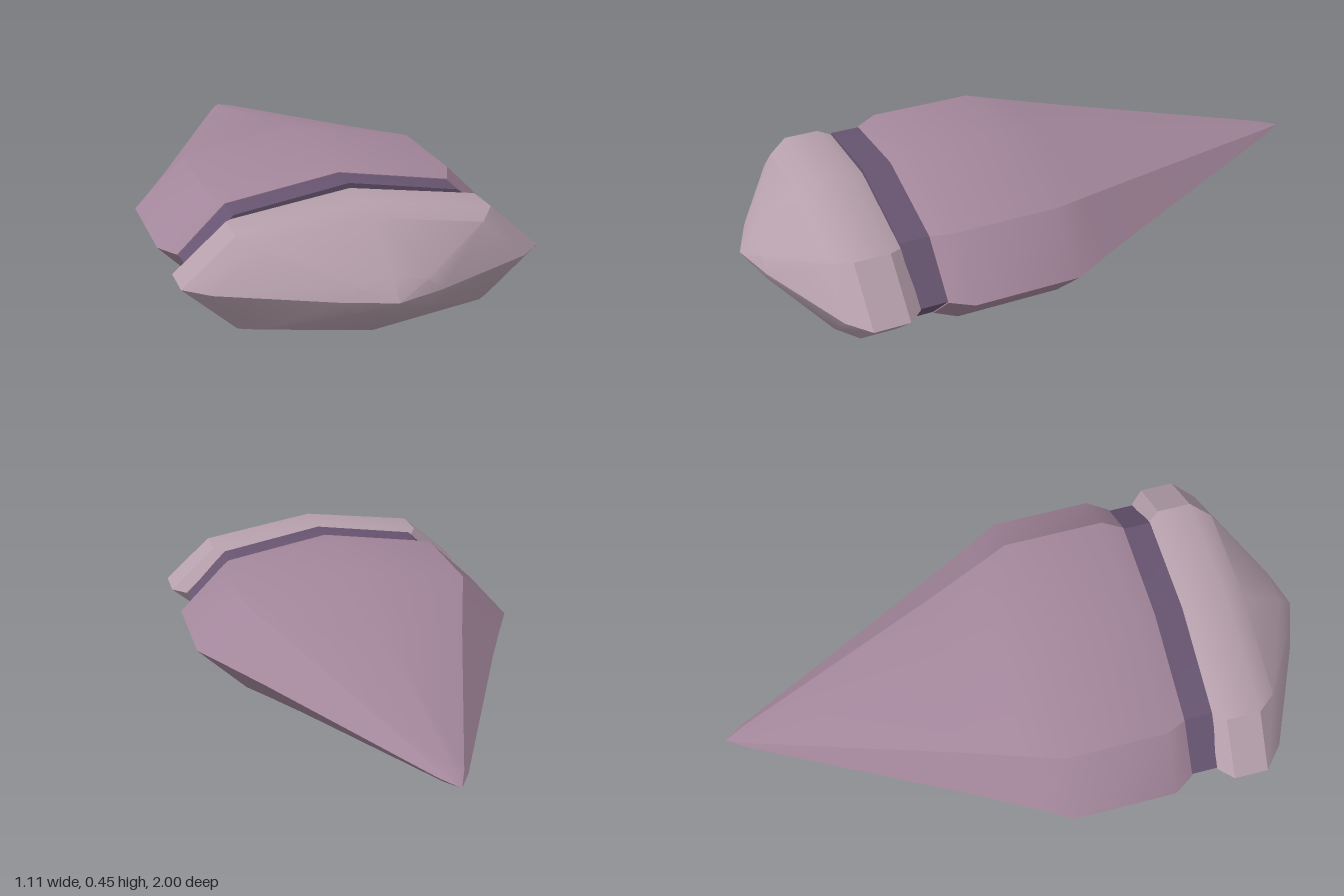
import * as THREE from 'three';
import { toCreasedNormals } from 'three/addons/utils/BufferGeometryUtils.js';

const CENTRE_Y = 0.228;

// Eight-sided spindle along z, flattened in y. Profile: [half width, z], back to front.
function spindle(name, profile, flatten, color) {
  const points = profile.map(([r, z]) => new THREE.Vector2(r, z));
  const geometry = new THREE.LatheGeometry(points, 8);
  geometry.rotateX(Math.PI / 2);
  geometry.scale(1, flatten, 1);
  geometry.translate(0, CENTRE_Y, 0);
  const mesh = new THREE.Mesh(
    toCreasedNormals(geometry, 0.5),
    new THREE.MeshStandardMaterial({ color })
  );
  mesh.name = name;
  return mesh;
}

export function createModel() {
  const group = new THREE.Group();
  group.name = 'pointedPod';

  // Long body tapering to a point at the back
  group.add(spindle('taperedBody', [
    [0, -1], [0.045, -0.93], [0.385, -0.25], [0.49, -0.05],
    [0.555, 0.07], [0.555, 0.415], [0.51, 0.485], [0, 0.485],
  ], 0.408, 0xa3869b));

  // Dark recessed band between body and nose
  group.add(spindle('collar', [
    [0, 0.48], [0.505, 0.48], [0.505, 0.58], [0, 0.58],
  ], 0.408, 0x675470));

  // Blunt nose at the front
  group.add(spindle('noseCap', [
    [0, 0.573], [0.51, 0.573], [0.555, 0.62], [0.555, 0.735],
    [0.48, 0.8], [0.15, 0.95], [0, 1],
  ], 0.367, 0xb59fab));

  return group;
}
